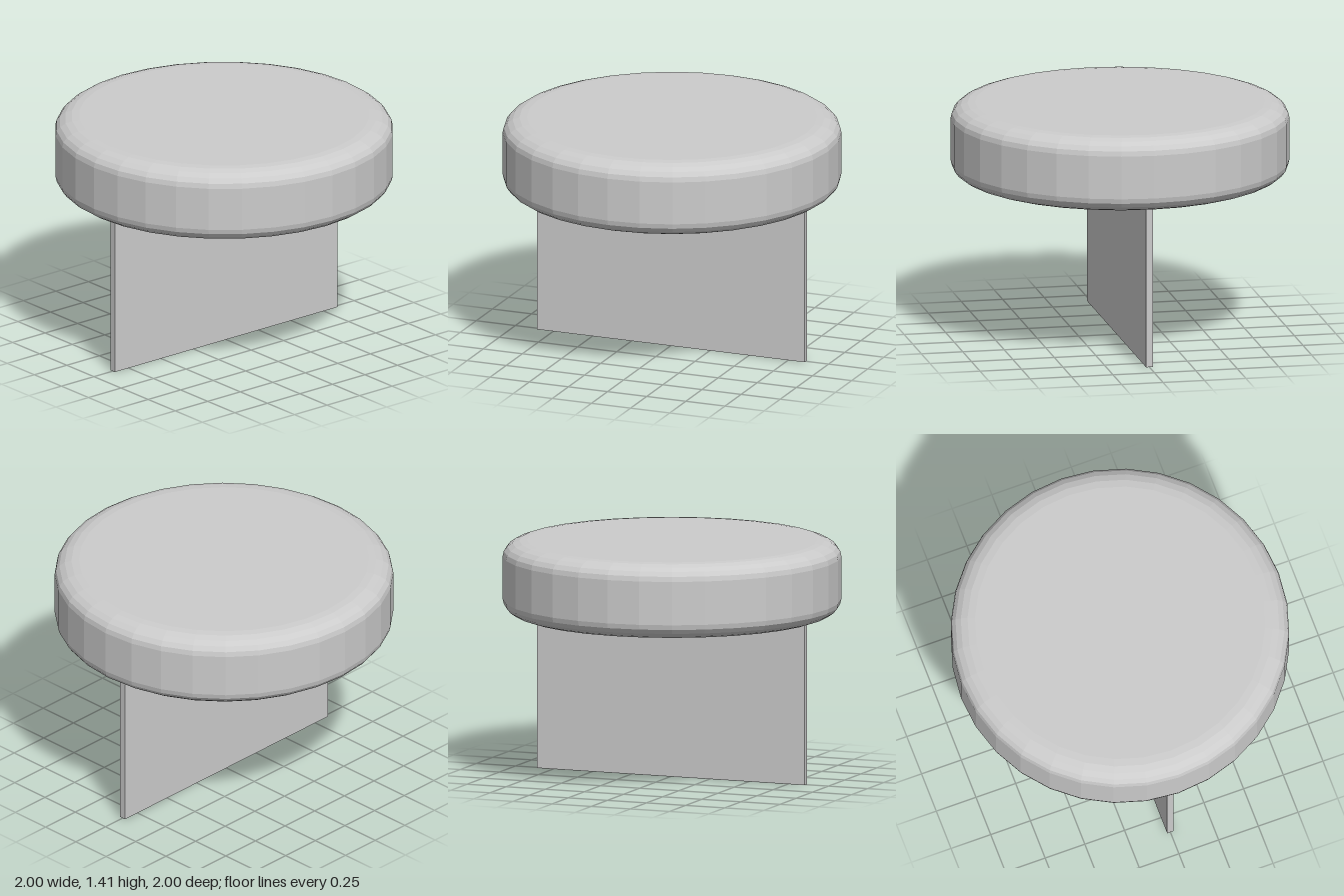
import * as THREE from 'three';

export function createModel() {
  const group = new THREE.Group();
  const bottom = 0.963, top = 1.412;
  const flatRadius = 0.857, filletWidth = 0.143, filletHeight = 0.095;
  const steps = 5;

  // Cap: thin round shell, rounded at both rims and open underneath
  const profile = [];
  for (let i = 0; i <= steps; i++) {
    const a = (i / steps) * Math.PI / 2;
    profile.push(new THREE.Vector2(
      flatRadius + filletWidth * Math.sin(a),
      bottom + filletHeight * (1 - Math.cos(a))));
  }
  for (let i = steps; i >= 0; i--) {
    const a = (i / steps) * Math.PI / 2;
    profile.push(new THREE.Vector2(
      flatRadius + filletWidth * Math.sin(a),
      top - filletHeight * (1 - Math.cos(a))));
  }
  profile.push(new THREE.Vector2(0, top));
  const cap = new THREE.Mesh(
    new THREE.LatheGeometry(profile, 32),
    new THREE.MeshStandardMaterial({ color: 0xcccccc, flatShading: true, side: THREE.DoubleSide }));
  cap.name = 'cap';
  group.add(cap);

  // Plate: thin upright panel spanning the opening of the cap
  const plate = new THREE.Mesh(
    new THREE.BoxGeometry(1.71, bottom, 0.04),
    new THREE.MeshStandardMaterial({ color: 0xcccccc }));
  plate.position.y = bottom / 2;
  plate.name = 'plate';
  group.add(plate);

  return group;
}
